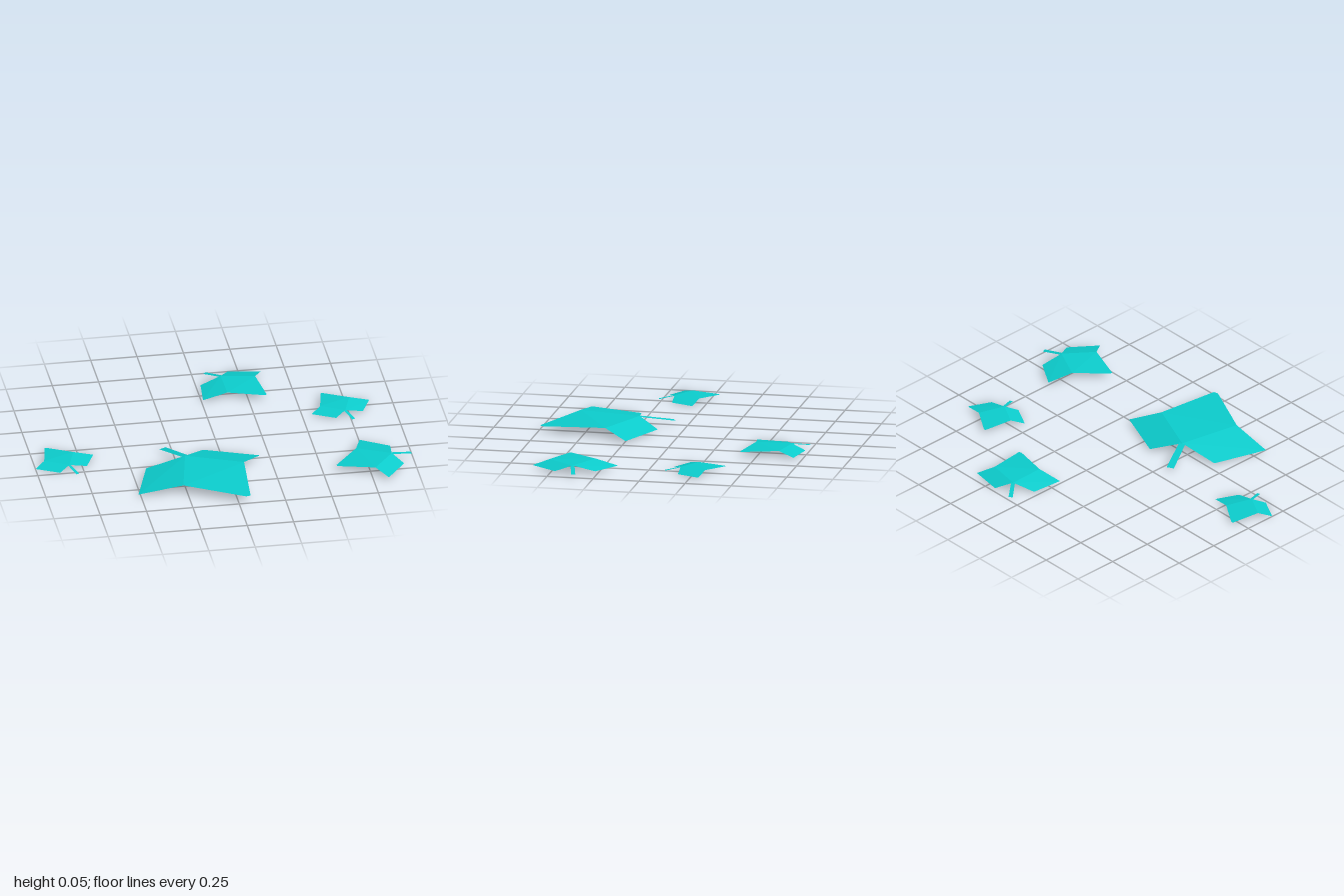
import * as THREE from 'three';

// Flat-faceted sheet from polygons, each a ring of corner indices (fan triangulated)
function sheet(points, polygons) {
  const pos = [];
  for (const ring of polygons) {
    for (let i = 1; i < ring.length - 1; i++) {
      for (const k of [ring[0], ring[i], ring[i + 1]]) pos.push(...points[k]);
    }
  }
  const geo = new THREE.BufferGeometry();
  geo.setAttribute('position', new THREE.Float32BufferAttribute(pos, 3));
  geo.computeVertexNormals();
  return geo;
}

export function createModel() {
  const group = new THREE.Group();
  group.name = 'scatteredLeaves';
  const teal = new THREE.MeshStandardMaterial({ color: 0x0ccfcf, side: THREE.DoubleSide });
  teal.name = 'teal';

  // Blade: x runs from the stem joint to the tip; the side lobes fold down
  const drop = -0.039;
  const bladeGeo = sheet([
    [0, 0, 0],               // 0 stem joint
    [-0.072, drop, 0.206],   // 1 lobe, back corner
    [0.139, drop, 0.423],    // 2 lobe point
    [0.262, 0, 0.216],       // 3 notch
    [0.545, -0.015, 0.012],  // 4 blunt tip
    [0.55, -0.015, -0.012],  // 5
    [0.25, 0, -0.203],       // 6 notch
    [0.184, drop, -0.362],   // 7 lobe point
    [-0.053, drop, -0.163],  // 8 lobe, back corner
  ], [[0, 1, 2, 3], [0, 3, 6], [3, 4, 5, 6], [0, 6, 7, 8]]);

  // Stem: a flat strip sloping down from the joint
  const stemGeo = sheet([
    [0.005, -0.001, 0.018], [0.005, -0.001, -0.018],
    [-0.195, -0.036, -0.02], [-0.195, -0.036, 0.02],
  ], [[0, 1, 2, 3]]);

  // Joint x, y, z, direction of the tip (x, z) and size
  const leaves = [
    ['largeLeaf', -0.207, 0.05, 0.252, 0.26, 0.483, 1],
    ['backLeaf', 0.14, 0.031, -0.65, 0.205, 0.24, 0.57],
    ['smallBackLeaf', 0.73, 0.022, -0.17, -0.09, -0.225, 0.44],
    ['smallSideLeaf', -0.82, 0.0172, 0.19, -0.09, -0.225, 0.44],
    ['sideLeaf', 0.885, 0.038, 0.385, -0.31, 0.075, 0.58],
  ];
  for (const [name, x, y, z, dx, dz, size] of leaves) {
    const leaf = new THREE.Group();
    leaf.name = name;
    const blade = new THREE.Mesh(bladeGeo, teal);
    blade.name = 'blade';
    const stem = new THREE.Mesh(stemGeo, teal);
    stem.name = 'stem';
    leaf.add(blade, stem);
    leaf.position.set(x, y, z);
    leaf.rotation.y = Math.atan2(-dz, dx);
    leaf.scale.setScalar(size);
    group.add(leaf);
  }
  return group;
}
